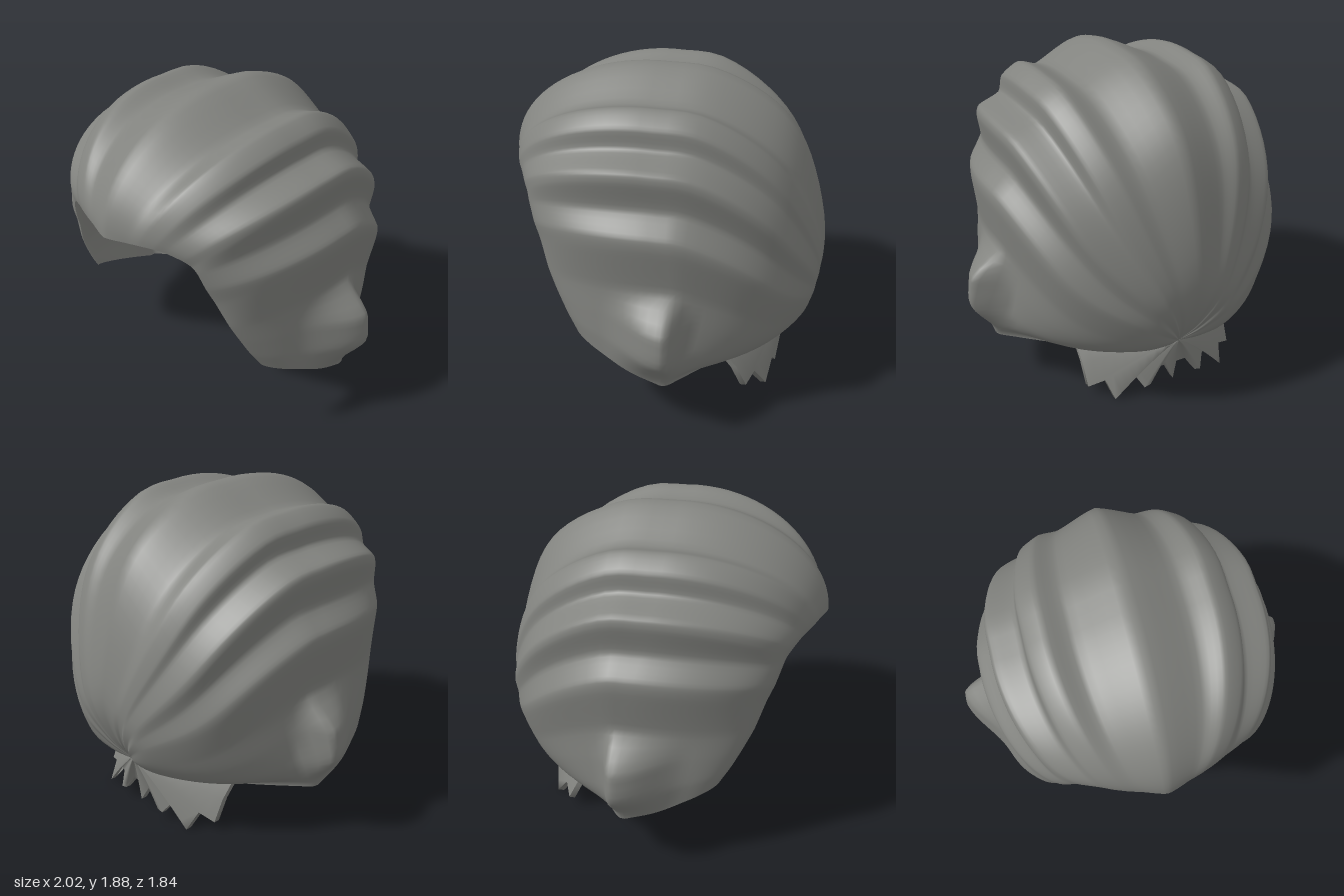
import * as THREE from 'three';

const { smoothstep, lerp } = THREE.MathUtils;
const V = (x, y, z) => new THREE.Vector3(x, y, z);

// Lock keys from crown centre to jaw: widest outline (x, y) and hairline point (x, y, z)
const LOCKS = [
  [0, 1.88, 0, 1.30, 0.92], [0.30, 1.75, 0.13, 1.305, 0.88],
  [0.45, 1.79, 0.20, 1.31, 0.86], [0.56, 1.72, 0.28, 1.31, 0.83],
  [0.58, 1.61, 0.34, 1.30, 0.80], [0.74, 1.56, 0.42, 1.27, 0.76],
  [0.76, 1.50, 0.46, 1.24, 0.735], [0.74, 1.34, 0.49, 1.20, 0.72],
  [0.84, 1.23, 0.52, 1.10, 0.69], [0.85, 1.15, 0.55, 1.00, 0.65],
  [0.82, 0.90, 0.60, 0.85, 0.60], [0.84, 0.70, 0.63, 0.74, 0.55],
  [0.86, 0.50, 0.66, 0.62, 0.49], [0.86, 0.30, 0.69, 0.52, 0.43],
];

// Back profile: share of distance to the gather point, depth at the crown, depth at the nape
const BACK = [
  [0.987, -0.23, -0.12], [0.90, -0.53, -0.18], [0.77, -0.73, -0.27], [0.555, -0.86, -0.42],
  [0.31, -0.92, -0.57], [0.13, -0.85, -0.67], [0, -0.73, -0.73],
];
const GATHER_Y = 0.35, FRONT_STEPS = 20, BACK_STEPS = 28, SUB = 5;

// Mirror keys about x = 0 and make a smooth curve from right to left
function mirroredCurve(points) {
  const right = points.slice(1).reverse().map((p) => V(-p.x, p.y, p.z));
  return new THREE.CatmullRomCurve3([...right, ...points], false, 'catmullrom', 0.3);
}

// Surface through rows of points
function grid(rows, flip = false) {
  const n = rows[0].length, index = [];
  for (let i = 0; i < rows.length - 1; i++) {
    for (let j = 0; j < n - 1; j++) {
      const a = i * n + j, b = a + n;
      if (flip) index.push(a, a + 1, b, b, a + 1, b + 1);
      else index.push(a, b, a + 1, b, b + 1, a + 1);
    }
  }
  const geometry = new THREE.BufferGeometry().setFromPoints(rows.flat());
  geometry.setIndex(index);
  geometry.computeVertexNormals();
  return geometry;
}

// Tuft swelling out over each ear, ending steeply at its back
function earTuft(p) {
  const w = smoothstep(p.y, 0.3, 0.58) * (1 - smoothstep(p.y, 0.7, 0.9))
    * (1 - smoothstep(p.z, -0.12, 0.26)) * smoothstep(p.z, -0.22, -0.13);
  p.x += Math.sign(p.x) * 0.16 * w;
}

// One lock from the hairline, over the widest outline, to the gather point
function lock(H, M, inner) {
  const h = smoothstep(M.y, 0.3, 1.2), row = [];
  const k = inner ? lerp(1, 0.98, smoothstep(M.y, 0.3, 0.6)) : 1;
  // Locks higher above the gather point bulge further back; those between crown and ear sag
  const rise = Math.max(0, M.y - GATHER_Y), reach = Math.hypot(M.x, rise);
  const bulge = Math.sqrt(rise / reach);
  const shoulder = 2 * Math.abs(M.x) * rise / (reach * reach);
  for (let i = 0; i < FRONT_STEPS; i++) {
    const a = (1 - i / FRONT_STEPS) * Math.PI / 2;
    const c = Math.cos(a), s = Math.sin(a);
    row.push(V(lerp(H.x, M.x, c ** 1.2),
      lerp(H.y, M.y, lerp(1 - s, c ** (1 + 0.2 * shoulder), h)), lerp(M.z * k, H.z, s)));
  }
  const back = new THREE.CatmullRomCurve3([
    V(1, M.z, 0), ...BACK.map(([c, crown, nape]) => V(c, lerp(nape, crown, bulge), 0)),
  ], false, 'catmullrom', 0.5);
  for (let i = 0; i <= BACK_STEPS; i++) {
    const { x, y: z } = back.getPoint(i / BACK_STEPS);
    const c = Math.min(1, x);
    const dip = 0.04 * Math.sin(Math.PI * c) * (1 - h)
      + 0.15 * Math.sin(Math.PI * c * c) * shoulder;
    row.push(V(M.x * c, lerp(GATHER_Y, M.y, c) - dip, z * k));
  }
  if (!inner) row.forEach(earTuft);
  return row;
}

function shellRows(inner) {
  const hair = mirroredCurve(LOCKS.map(([, , x, y, z]) => V(x, y, z)));
  const wide = mirroredCurve(LOCKS.map(([x, y]) => {
    const z = lerp(-0.08, 0.08, smoothstep(y, 0.8, 1.8));
    if (!inner) return V(x, y, z);
    // The lining follows a plain ellipse touching the grooves, thicker at the jaw
    if (y <= 0.9) return V(x - lerp(0.1, 0.03, smoothstep(y, 0.3, 0.7)), y, z);
    const a = Math.atan2(x, y - 0.9);
    return V(0.8 * Math.sin(a), 0.9 + 0.89 * Math.cos(a), z);
  }));
  const n = (LOCKS.length - 1) * 2 * SUB, rows = [];
  for (let i = 0; i <= n; i++) rows.push(lock(hair.getPoint(i / n), wide.getPoint(i / n), inner));
  return rows;
}

// Short ragged tail: tips and notches (x, y, z) fanned from the gather point
const TAIL = [
  [0, 0.05, -0.68], [0.04, 0.14, -0.65], [0.10, 0.14, -0.65], [0.15, 0.06, -0.68],
  [0.19, 0.05, -0.68], [0.23, 0.12, -0.63], [0.28, 0.13, -0.61], [0.36, 0.00, -0.64],
  [0.39, 0.10, -0.57], [0.48, 0.06, -0.53], [0.485, 0.19, -0.47], [0.49, 0.28, -0.40],
];

function tailRows(inner) {
  const half = TAIL.map((p) => V(...p));
  const tips = [...half.slice(1).reverse().map((p) => V(-p.x, p.y, p.z)), ...half];
  return tips.map((tip) => {
    const row = [];
    for (let i = 0; i <= 8; i++) {
      const t = i / 8, spread = Math.pow(t, 0.85);
      const gap = inner ? 0.05 * Math.sin(Math.PI * t * 0.75) : 0;
      row.push(V(tip.x * spread, lerp(GATHER_Y, tip.y, t),
        lerp(-0.73, tip.z, Math.pow(t, 0.8)) + gap));
    }
    return row;
  });
}

export function createModel() {
  const group = new THREE.Group();
  const hairGrey = new THREE.MeshStandardMaterial({ color: 0x82837f, side: THREE.DoubleSide });
  hairGrey.name = 'hairGrey';
  const add = (name, geometry) => {
    const mesh = new THREE.Mesh(geometry, hairGrey);
    mesh.name = name;
    group.add(mesh);
  };

  // Swept-back locks and the smooth lining
  const outer = shellRows(false), lining = shellRows(true), last = outer.length - 1;
  add('sweptHair', grid(outer));
  add('hairLining', grid(lining, true));

  // Lower rims between hair and lining
  add('rightLowerRim', grid([lining[0], outer[0]]));
  add('leftLowerRim', grid([outer[last], lining[last]]));

  // Tail gathered at the nape
  const tailOut = tailRows(false), tailIn = tailRows(true);
  const end = (rows) => rows.map((row) => row[row.length - 1]);
  add('tailOuter', grid(tailOut));
  add('tailInner', grid(tailIn, true));
  add('tailTips', grid([end(tailOut), end(tailIn)], true));
  return group;
}
